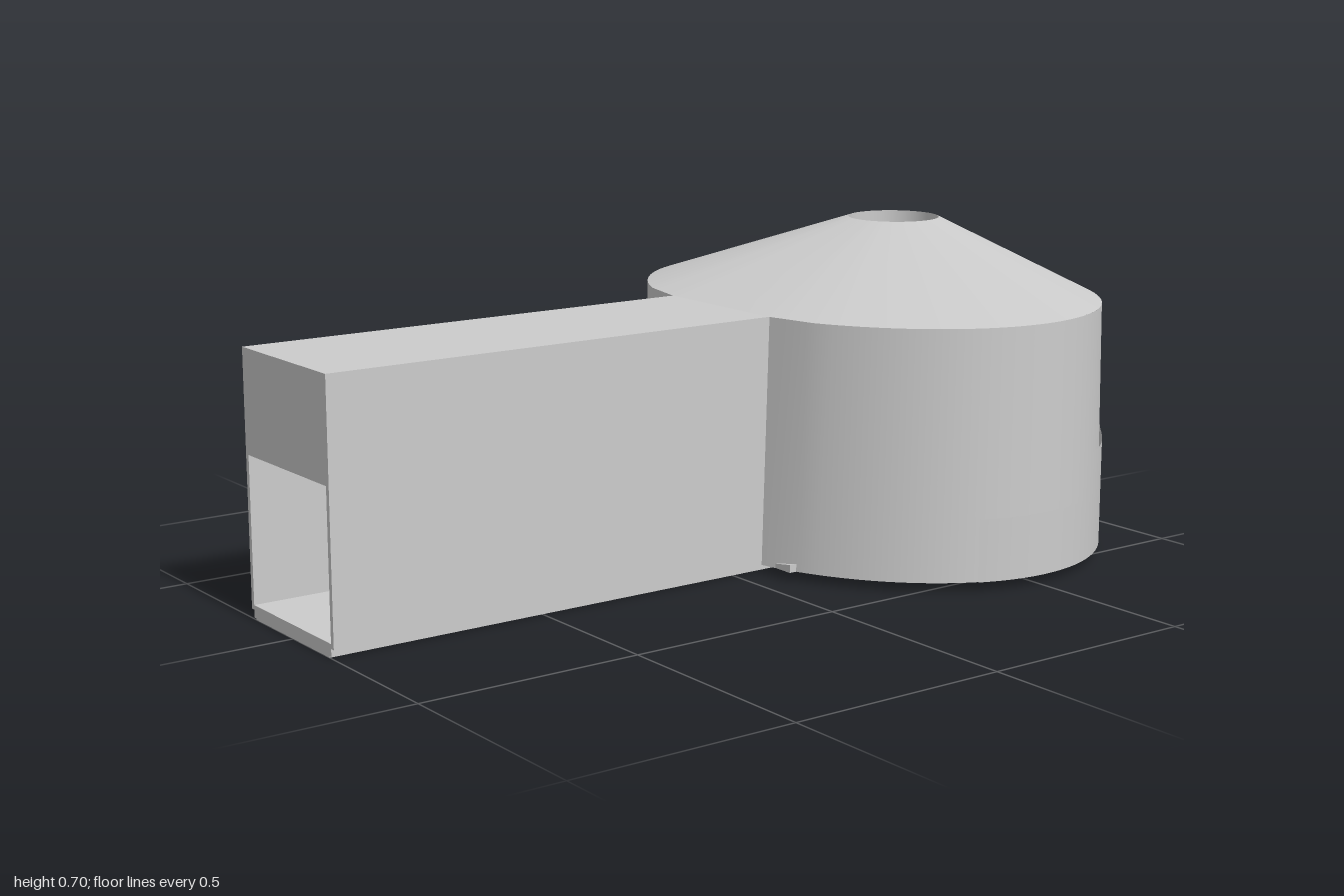
import * as THREE from 'three';

const CZ = -0.515; // chamber centre
const RAD = Math.PI / 180;
const GAP0 = 107.5, GAP1 = 432.5; // wall angles, leaving a gap for the passage
const mat = new THREE.MeshStandardMaterial({ color: 0xcccccc, side: THREE.DoubleSide });

// One horizontal ring; angle 90 faces the front. height may be a number or a function of the angle.
function ring(rx, rz, height, from, to, { cx = 0, cz = CZ, flat = Infinity, n = 96 } = {}) {
  return Array.from({ length: n + 1 }, (_, i) => {
    const deg = from + (to - from) * i / n;
    const x = rx * Math.cos(deg * RAD);
    let z = cz + rz * Math.sin(deg * RAD);
    if (flat < Infinity) z = Math.min(z, flat, flat + 0.042 - 0.235 * Math.abs(x));
    return [cx + x, typeof height === 'function' ? height(deg) : height, z];
  });
}

// Skin between rings, listed from bottom to top
function loft(rings) {
  const n = rings[0].length, index = [];
  for (let r = 0; r < rings.length - 1; r++) {
    for (let i = 0; i < n - 1; i++) {
      const a = r * n + i, b = a + n;
      index.push(a, b, a + 1, b, b + 1, a + 1);
    }
  }
  const g = new THREE.BufferGeometry();
  g.setAttribute('position', new THREE.Float32BufferAttribute(rings.flat(2), 3));
  g.setIndex(index);
  g.computeVertexNormals();
  return g;
}

const poly = pts => new THREE.Shape(pts.map(p => new THREE.Vector2(...p)));
const rect = (x0, x1, y0, y1) => poly([[x0, y0], [x1, y0], [x1, y1], [x0, y1]]);

function prism(shape, z0, z1) {
  const g = new THREE.ExtrudeGeometry(shape, { depth: z1 - z0, bevelEnabled: false });
  return g.translate(0, 0, z0);
}

function box(x0, x1, y0, y1, z0, z1) {
  return new THREE.BoxGeometry(x1 - x0, y1 - y0, z1 - z0)
    .translate((x0 + x1) / 2, (y0 + y1) / 2, (z0 + z1) / 2);
}

// Top edge of the outer skin: low band with a hump around the back
function skinTop(deg) {
  const a = ((deg % 360) + 360) % 360;
  const keys = [[180, 0.16], [200, 0.23], [215, 0.26], [240, 0.4], [255, 0.5], [270, 0.53],
    [285, 0.49], [300, 0.38], [315, 0.27], [325, 0.26], [342, 0.26], [343, 0.16]];
  for (let i = 1; i < keys.length; i++) {
    const [a0, h0] = keys[i - 1], [a1, h1] = keys[i];
    if (a >= a0 && a <= a1) return h0 + (h1 - h0) * (a - a0) / (a1 - a0);
  }
  return 0.16;
}

export function createModel() {
  const model = new THREE.Group();
  model.name = 'chamberWithPassage';
  const add = (name, geometry, parent = model) => {
    const m = new THREE.Mesh(geometry, mat);
    m.name = name;
    parent.add(m);
    return m;
  };

  // Chamber wall, slightly tapered, with inner face and bottom rim
  const low = ring(0.604, 0.478, 0.02, GAP0, GAP1, { flat: -0.06 });
  const high = ring(0.596, 0.47, 0.575, GAP0, GAP1, { flat: -0.08 });
  const innerLow = ring(0.5, 0.39, 0.02, GAP0, GAP1);
  const innerHigh = ring(0.5, 0.39, 0.56, GAP0, GAP1);
  add('chamberOuterWall', loft([low, high]));
  add('chamberInnerWall', loft([innerLow, innerHigh]));
  add('wallBottomRim', loft([innerLow, low]));

  // Thin outer skin with its humped top edge
  const skin = h => ring(0.607, 0.481, h, 160, 380, { n: 160 });
  add('outerSkin', loft([skin(0.02), skin(skinTop)]));

  // Lopsided roof with an offset round smoke hole
  const hole = { cx: -0.19, cz: -0.755 };
  add('roof', loft([
    ring(0.596, 0.47, 0.575, 90, 450, { flat: -0.08 }),
    ring(0.11, 0.11, 0.705, 90, 450, hole),
  ]));
  add('roofUnderside', loft([
    ring(0.52, 0.41, 0.53, 90, 450),
    ring(0.11, 0.11, 0.655, 90, 450, hole),
  ]));
  add('smokeHoleRim', loft([
    ring(0.11, 0.11, 0.655, 90, 450, hole),
    ring(0.11, 0.11, 0.705, 90, 450, hole),
  ]));

  // Chamber floor
  const floor = new THREE.CircleGeometry(1, 96).rotateX(-Math.PI / 2)
    .scale(0.51, 1, 0.4).translate(0, 0.055, CZ);
  add('chamberFloor', floor);

  // Steps climbing along the back wall
  const stairs = new THREE.Group();
  stairs.name = 'stairs';
  model.add(stairs);
  const count = 10;
  for (let i = 0; i < count; i++) {
    const a = (190 + 10 * i) * RAD, top = 0.1 + 0.038 * i;
    const step = add('step', new THREE.BoxGeometry(0.17, top - 0.03, 0.1), stairs);
    step.position.set(0.44 * Math.cos(a), (top + 0.03) / 2, CZ + 0.335 * Math.sin(a));
    step.rotation.y = -a;
  }

  // Passage: a rectangular tube open to the front
  const passage = rect(-0.183, 0.173, 0.02, 0.574);
  passage.holes.push(rect(-0.172, 0.162, 0.03, 0.35));
  add('passage', prism(passage, -0.1, 1));
  add('basePlate', box(-0.172, 0.162, 0.003, 0.02, -0.12, 1));
  add('basePlateUnderside', box(-0.165, 0.155, 0, 0.003, -0.12, 1));
  add('threshold', box(-0.172, 0.162, 0.028, 0.05, -0.24, -0.02));

  // Door wall in two layers, the inner opening narrower
  const doorWall = (half, peak) => {
    const s = rect(-0.18, 0.172, 0.02, 0.56);
    s.holes.push(poly([[-half, 0.05], [half, 0.05], [half, 0.27], [0, peak], [-half, 0.27]]));
    return s;
  };
  add('doorWallFront', prism(doorWall(0.098, 0.33), -0.16, -0.085));
  add('doorWallBack', prism(doorWall(0.068, 0.32), -0.23, -0.16));

  for (const s of [1, -1]) {
    const wallX = s > 0 ? 0.164 : -0.174;
    // Vault braces in the upper corners of the passage
    add('vaultBrace', prism(poly([[wallX, 0.2], [wallX, 0.352], [s * 0.06, 0.352], [s * 0.11, 0.315]]), -0.085, 0.04));
    // Small wedges at the foot of the chamber front
    add('footWedge', prism(poly([[s * 0.17, 0.02], [s * 0.27, 0.02], [s * 0.27, 0.038], [s * 0.17, 0.022]]), -0.11, -0.07));
  }
  return model;
}
